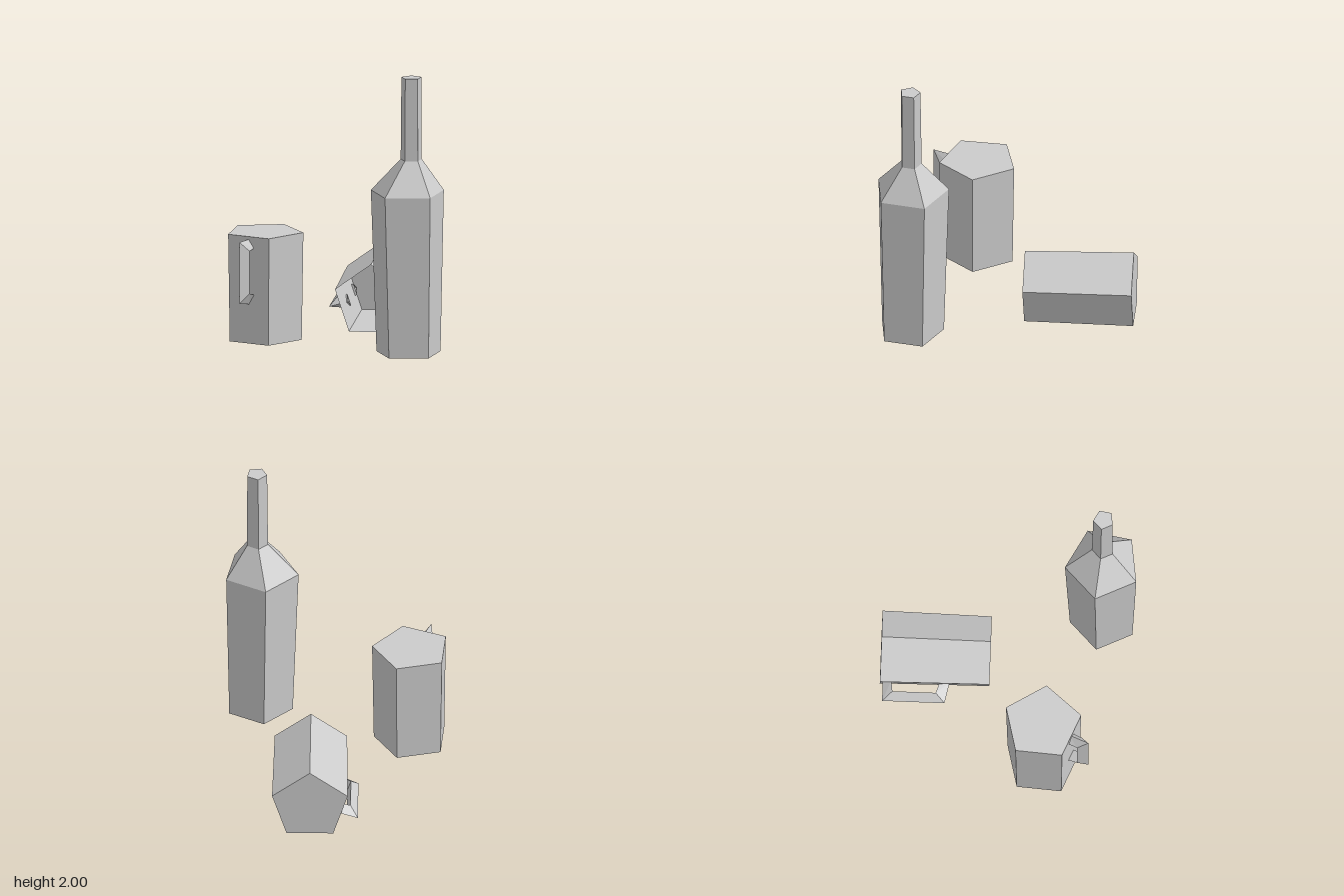
import * as THREE from 'three';

const SIDES = 5;
const material = new THREE.MeshStandardMaterial({
  color: 0xcccccc, flatShading: true, side: THREE.DoubleSide,
});

// Skin a list of equal-sized rings of points; optionally close the last ring.
function loft(rings, cap) {
  const n = rings[0].length;
  const index = [];
  for (let r = 0; r < rings.length - 1; r++) {
    for (let i = 0; i < n; i++) {
      const a = r * n + i, b = r * n + (i + 1) % n;
      index.push(a, a + n, b, b, a + n, b + n);
    }
  }
  if (cap) {
    const s = (rings.length - 1) * n;
    for (let i = 1; i < n - 1; i++) index.push(s, s + i + 1, s + i);
  }
  const indexed = new THREE.BufferGeometry();
  indexed.setAttribute('position', new THREE.Float32BufferAttribute(rings.flat(2), 3));
  indexed.setIndex(index);
  const geometry = indexed.toNonIndexed();
  geometry.computeVertexNormals();
  return geometry;
}

// Horizontal pentagon ring
function ring(cx, y, cz, radius, turn = 0) {
  return Array.from({ length: SIDES }, (_, i) => {
    const a = turn + (i / SIDES) * Math.PI * 2;
    return [cx + radius * Math.cos(a), y, cz + radius * Math.sin(a)];
  });
}

function part(name, geometry) {
  const mesh = new THREE.Mesh(geometry, material);
  mesh.name = name;
  return mesh;
}

// Mug standing on its own origin, with the handle towards local +x
function createMug(name) {
  const mug = new THREE.Group();
  mug.name = name;
  const turn = Math.PI / SIDES;
  mug.add(part('mugBody', loft([ring(0, 0, 0, 0.268, turn), ring(0, 0.77, 0, 0.28, turn)], true)));

  // Handle: triangular section with an outer ridge, swept round a C
  const section = (ridgeX, ridgeY, innerX, innerY) =>
    [[ridgeX, ridgeY, 0], [innerX, innerY, -0.042], [innerX, innerY, 0.042]];
  mug.add(part('mugHandle', loft([
    section(0.21, 0.75, 0.21, 0.69),
    section(0.355, 0.75, 0.286, 0.68),
    section(0.355, 0.31, 0.286, 0.375),
    section(0.21, 0.28, 0.21, 0.35),
  ], false)));
  return mug;
}

export function createModel() {
  const model = new THREE.Group();
  model.name = 'bottleAndMugs';

  // Bottle: tapered body, shoulder and slightly off-centre neck
  model.add(part('bottle', loft([
    ring(0.242, 0.02, 0.715, 0.237),
    ring(0.235, 1.175, 0.71, 0.27),
    ring(0.26, 1.41, 0.72, 0.078),
    ring(0.26, 2.0, 0.725, 0.074),
  ], true)));

  // Upright mug
  const upright = createMug('uprightMug');
  upright.position.set(-0.555, 0.02, -0.105);
  upright.rotation.y = THREE.MathUtils.degToRad(-138);
  model.add(upright);

  // Mug lying on one side, top pointing to the back
  const tipped = createMug('tippedMug');
  const axis = new THREE.Vector3(0.333, 0.013, -0.692).normalize();
  const grip = new THREE.Vector3(-0.856, -0.309, -0.415);
  const across = new THREE.Vector3().crossVectors(grip, axis).normalize();
  grip.crossVectors(axis, across);
  tipped.quaternion.setFromRotationMatrix(new THREE.Matrix4().makeBasis(grip, axis, across));
  tipped.position.set(0.25, 0.22, -0.15);
  model.add(tipped);

  return model;
}
